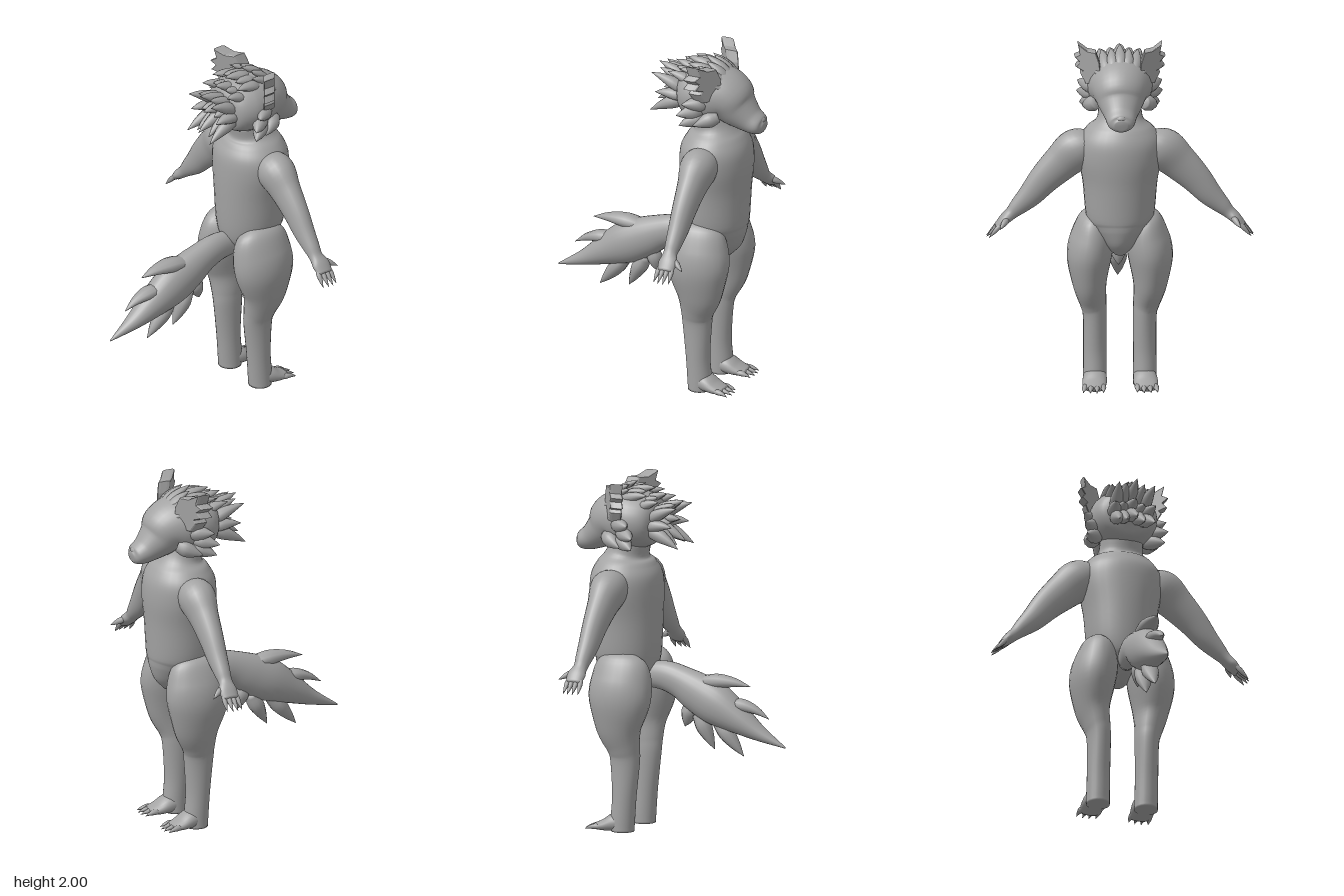
import * as THREE from 'three';

const fur = new THREE.MeshStandardMaterial({ color: 0xa3a3a3 });
fur.name = 'grey fur';
const X = new THREE.Vector3(1, 0, 0), Z = new THREE.Vector3(0, 0, 1);

// Smooth closed tube through sections [x, y, z, radius along side, radius across]
function loft(sections, side = X, rings = 32, sides = 24) {
  const path = new THREE.CatmullRomCurve3(sections.map(s => new THREE.Vector3(s[0], s[1], s[2])), false, 'catmullrom', 0.5);
  const size = new THREE.CatmullRomCurve3(sections.map(s => new THREE.Vector3(s[3], s[4], 0)), false, 'catmullrom', 0.5);
  const pos = [], idx = [];
  for (let i = 0; i <= rings; i++) {
    const k = i / rings, c = path.getPoint(k), t = path.getTangent(k), r = size.getPoint(k);
    const u = side.clone().addScaledVector(t, -side.dot(t)).normalize();
    const v = t.clone().cross(u);
    for (let j = 0; j < sides; j++) {
      const a = j / sides * Math.PI * 2;
      const p = c.clone()
        .addScaledVector(u, Math.cos(a) * Math.max(r.x, 0.001))
        .addScaledVector(v, Math.sin(a) * Math.max(r.y, 0.001));
      pos.push(p.x, Math.max(p.y, 0), p.z);
    }
  }
  const start = pos.length / 3, last = rings * sides;
  for (const k of [0, 1]) pos.push(...path.getPoint(k).toArray());
  for (let j = 0; j < sides; j++) {
    const n = (j + 1) % sides;
    for (let i = 0; i < rings; i++) {
      const a = i * sides + j, b = i * sides + n;
      idx.push(a, b, b + sides, a, b + sides, a + sides);
    }
    idx.push(start, n, j, start + 1, last + j, last + n);
  }
  const g = new THREE.BufferGeometry();
  g.setAttribute('position', new THREE.Float32BufferAttribute(pos, 3));
  g.setIndex(idx);
  g.computeVertexNormals();
  return g;
}

// Tapered tuft, claw or finger from base to tip, with an optional vertical bow
function spike(base, tip, w, h, bow = 0, side = X) {
  const at = (k, f, b) => [...base.map((v, i) => v + (tip[i] - v) * k + (i === 1 ? b * bow : 0)), w * f, h * f];
  return loft([at(0, 0.75, 0), at(0.35, 1, 0.8), at(0.7, 0.62, 0.8), at(1, 0.03, 0)], side, 12, 10);
}

export function createModel() {
  const model = new THREE.Group();
  const add = (name, geometry) => {
    const mesh = new THREE.Mesh(geometry, fur);
    mesh.name = name;
    model.add(mesh);
  };

  add('torso', loft([
    [0, 0.78, -0.37, 0.03, 0.06], [0, 0.84, -0.36, 0.09, 0.135], [0, 0.92, -0.345, 0.15, 0.175],
    [0, 1.0, -0.335, 0.19, 0.19], [0, 1.2, -0.335, 0.21, 0.2], [0, 1.35, -0.34, 0.235, 0.205],
    [0, 1.45, -0.338, 0.23, 0.195], [0, 1.52, -0.335, 0.185, 0.16], [0, 1.57, -0.33, 0.13, 0.12],
    [0, 1.65, -0.31, 0.12, 0.11]], X, 44, 32));

  // Head with a long snout pointing to the back of the frame
  add('head', loft([
    [0, 1.77, -0.13, 0.08, 0.07], [0, 1.77, -0.17, 0.155, 0.135], [0, 1.765, -0.25, 0.19, 0.165],
    [0, 1.765, -0.34, 0.185, 0.17], [0, 1.745, -0.42, 0.16, 0.15], [0, 1.69, -0.48, 0.125, 0.11],
    [0, 1.64, -0.55, 0.09, 0.077], [0, 1.615, -0.61, 0.073, 0.055], [0, 1.61, -0.637, 0.035, 0.028]], X, 44, 32));
  const nose = new THREE.SphereGeometry(0.035, 16, 12);
  nose.scale(1, 0.7, 0.8);
  nose.translate(0, 1.645, -0.61);
  add('nose', nose);

  // Rows of hair tufts: y and z of base and tip, spacing, tuft width, thickness
  const rows = [
    [1.88, -0.43, 1.98, -0.27, 0.045, 0.035, 0.025],
    [1.9, -0.34, 1.95, -0.16, 0.05, 0.038, 0.03],
    [1.85, -0.25, 1.92, -0.09, 0.05, 0.038, 0.03],
    [1.79, -0.19, 1.89, 0.015, 0.045, 0.038, 0.035],
    [1.76, -0.19, 1.78, -0.01, 0.05, 0.04, 0.035],
    [1.75, -0.19, 1.66, 0.025, 0.045, 0.038, 0.04]];
  for (const [by, bz, ty, tz, gap, w, h] of rows)
    for (let i = -2; i <= 2; i++)
      add('hairTuft', spike([i * gap * 0.8, by - Math.abs(i) * 0.012, bz],
        [i * gap * 1.15, ty - Math.abs(i) * 0.015, tz - Math.abs(i % 2) * 0.03], w, h, 0.01));

  add('tail', loft([
    [0, 0.88, -0.22, 0.05, 0.07], [0, 0.88, -0.1, 0.065, 0.085], [0, 0.85, 0, 0.075, 0.095],
    [0, 0.8, 0.1, 0.088, 0.115], [0, 0.74, 0.22, 0.095, 0.12], [0, 0.67, 0.35, 0.08, 0.085],
    [0, 0.6, 0.48, 0.05, 0.045], [0, 0.53, 0.642, 0.004, 0.004]], X, 40, 24));
  const tufts = [
    [0.86, 0.1, 0.86, 0.425, 0.06, 0.04, 0.02], [0.75, 0.28, 0.685, 0.54, 0.05, 0.035, 0.03],
    [0.65, 0.22, 0.46, 0.385, 0.05, 0.045, 0], [0.68, 0.1, 0.485, 0.205, 0.05, 0.045, 0],
    [0.74, 0.06, 0.6, 0.02, 0.045, 0.045, -0.01]];
  for (const [by, bz, ty, tz, w, h, bow] of tufts)
    add('tailTuft', spike([0, by, bz], [0, ty, tz], w, h, bow));

  for (const s of [1, -1]) {
    const m = list => list.map(([x, ...rest]) => [x * s, ...rest]);
    const name = s > 0 ? 'left' : 'right';

    add(name + 'Leg', loft(m([
      [0.14, 1.02, -0.3, 0.03, 0.07], [0.15, 0.97, -0.3, 0.085, 0.145], [0.155, 0.87, -0.3, 0.122, 0.178],
      [0.172, 0.75, -0.305, 0.126, 0.182], [0.17, 0.6, -0.31, 0.097, 0.138], [0.15, 0.48, -0.29, 0.076, 0.098],
      [0.14, 0.4, -0.285, 0.067, 0.087], [0.14, 0.2, -0.29, 0.065, 0.07], [0.14, 0.06, -0.3, 0.066, 0.07],
      [0.14, 0, -0.3, 0.066, 0.066]]), X, 44));
    add(name + 'Foot', loft(m([
      [0.14, 0.04, -0.26, 0.05, 0.04], [0.14, 0.05, -0.33, 0.066, 0.055],
      [0.145, 0.03, -0.4, 0.068, 0.035], [0.15, 0.018, -0.46, 0.055, 0.018]]), X, 16));
    for (let i = 0; i < 4; i++) {
      const x = i - 1.5;
      add(name + 'Toe', spike([s * (0.145 + x * 0.032), 0.022, -0.41],
        [s * (0.152 + x * 0.038), 0.008, -0.52 + Math.abs(x) * 0.012], 0.017, 0.016, 0.008));
    }

    add(name + 'Arm', loft(m([
      [0.15, 1.43, -0.34, 0.09, 0.07], [0.24, 1.39, -0.34, 0.105, 0.118], [0.33, 1.31, -0.34, 0.08, 0.105],
      [0.42, 1.22, -0.34, 0.066, 0.088], [0.5, 1.125, -0.34, 0.056, 0.07], [0.57, 1.055, -0.34, 0.045, 0.05],
      [0.61, 1.015, -0.34, 0.04, 0.036], [0.65, 0.98, -0.345, 0.054, 0.03], [0.69, 0.942, -0.345, 0.045, 0.018]]), Z, 40));
    for (let i = 0; i < 4; i++)
      add(name + 'Finger', spike([s * 0.665, 0.965, -0.307 - i * 0.025],
        [s * (0.748 - (i % 3 ? 0 : 0.012)), 0.885, -0.297 - i * 0.03], 0.014, 0.014, 0, Z));
    add(name + 'Thumb', spike([s * 0.63, 0.995, -0.37], [s * 0.675, 0.95, -0.445], 0.018, 0.018));

    // Ragged upright ear, slanted forward towards the middle of the head
    const outline = [[0.11, 1.8], [0.19, 1.78], [0.218, 1.83], [0.205, 1.85], [0.243, 1.865], [0.222, 1.895],
      [0.248, 1.92], [0.22, 1.94], [0.232, 1.993], [0.185, 1.965], [0.14, 1.965], [0.12, 1.91]];
    const ear = new THREE.ExtrudeGeometry(new THREE.Shape(outline.map(([x, y]) => new THREE.Vector2(x * s, y))),
      { depth: 0.04, bevelThickness: 0.018, bevelSize: 0.005, bevelSegments: 2 });
    const p = ear.attributes.position;
    for (let i = 0; i < p.count; i++)
      p.setZ(i, p.getZ(i) - 0.31 - (0.24 - Math.abs(p.getX(i))) * 0.75);
    ear.computeVertexNormals();
    add(name + 'Ear', ear);

    // Cheek ruff
    for (const [y, z, ty, tx] of [[1.75, -0.3, 1.76, 0.238], [1.71, -0.27, 1.69, 0.242], [1.67, -0.28, 1.625, 0.225], [1.68, -0.36, 1.63, 0.21]])
      add(name + 'CheekTuft', spike([s * 0.13, y, z - 0.05], [s * tx, ty, z + 0.07], 0.045, 0.045, 0, Z));
    // Brow ridge
    add(name + 'Brow', spike([s * 0.06, 1.8, -0.46], [s * 0.16, 1.87, -0.37], 0.025, 0.025, 0.01, Z));
  }
  return model;
}
